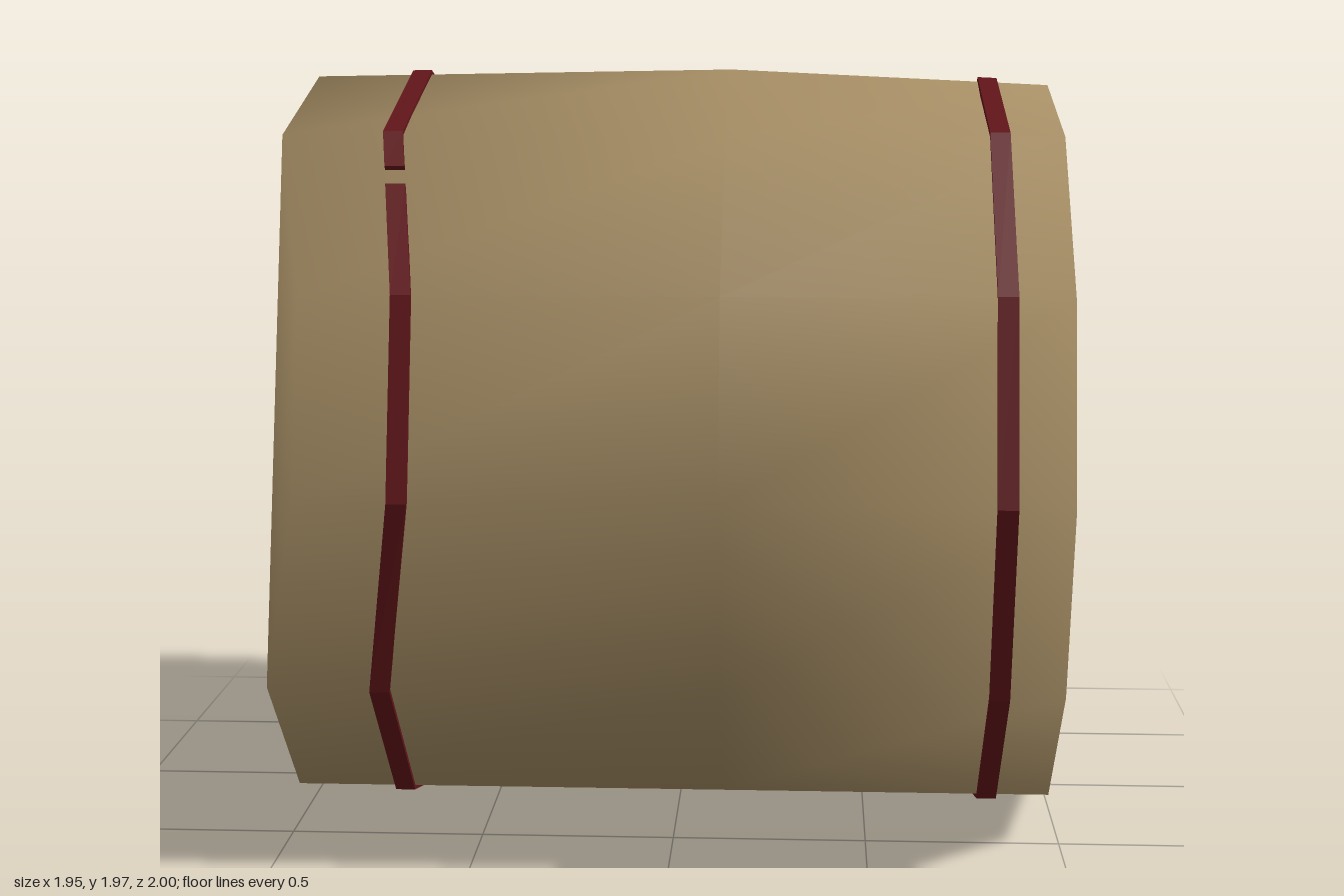
import * as THREE from 'three';

const N = 12;
// Cross-section corners as [z, y], from the top round the front side
const section = [
  [0, 1.97], [0.5, 1.82], [0.86, 1.46], [0.99, 0.98], [0.86, 0.49], [0.5, 0.13],
  [0, 0.01], [-0.47, 0.13], [-0.86, 0.48], [-1, 1], [-0.85, 1.48], [-0.48, 1.83],
];

// One ring of corners at x; dents replace single corners with [x, y, z]
function makeRing(x, dents) {
  return section.map(([z, y], i) => new THREE.Vector3(...(dents[i] ?? [x, y, z])));
}

const rings = [
  makeRing(-0.98, { 0: [-0.98, 1.95, 0], 2: [-0.89, 1.45, 0.82], 3: [-0.89, 0.97, 0.94] }),
  makeRing(0.13, { 8: [0.13, 0.48, -0.87], 9: [0.13, 1, -0.85], 10: [0.13, 1.49, -0.78], 11: [0.13, 1.84, -0.48] }),
  makeRing(0.97, { 0: [0.97, 1.93, 0], 8: [0.97, 0.48, -0.83], 11: [0.97, 1.8, -0.46] }),
];

function buildGeometry(points, index) {
  const g = new THREE.BufferGeometry().setFromPoints(points);
  g.setIndex(index);
  g.computeVertexNormals();
  return g;
}

// Drum: walls between the rings, and end caps sharing the rim corners
function drumGeometry() {
  const index = [];
  for (let j = 0; j < rings.length - 1; j++) {
    for (let i = 0; i < N; i++) {
      const a = j * N + i, b = j * N + (i + 1) % N;
      index.push(a, b, a + N, b, b + N, a + N);
    }
  }
  const last = (rings.length - 1) * N;
  for (let k = 1; k < N - 1; k++) {
    // the near cap fans from corner 4, so the chipped corners bend away from it
    index.push(4, (4 + k + 1) % N, (4 + k) % N);
    index.push(last + 9, last + (9 + k) % N, last + (9 + k + 1) % N);
  }
  return buildGeometry(rings.flat(), index);
}

// Point on the wall at x, for a position u counted in corners round the drum
function onWall(u, x) {
  const corner = (i) => {
    const [a, b] = x < rings[1][i].x ? [rings[0][i], rings[1][i]] : [rings[1][i], rings[2][i]];
    return a.clone().lerp(b, (x - a.x) / (b.x - a.x)).setX(x);
  };
  const i = Math.floor(u);
  return corner(i % N).lerp(corner((i + 1) % N), u - i);
}

// Raised strip from u0 to u1; xAt gives the strip's centre line
function bandGeometry(u0, u1, xAt) {
  const stops = [u0];
  for (let i = Math.floor(u0) + 1; i < u1 - 1e-6; i++) stops.push(i);
  stops.push(u1);
  const points = [], index = [];
  for (const u of stops) {
    const i = Math.floor(u);
    const x = THREE.MathUtils.lerp(xAt(i % N), xAt((i + 1) % N), u - i);
    for (const [dx, lift] of [[-0.025, -0.02], [-0.025, 0.012], [0.025, 0.012], [0.025, -0.02]]) {
      const p = onWall(u, x + dx);
      const out = new THREE.Vector3(0, p.y - 0.99, p.z).normalize();
      points.push(p.addScaledVector(out, lift));
    }
  }
  for (let s = 0; s < stops.length - 1; s++) {
    for (let k = 0; k < 4; k++) {
      const a = s * 4 + k, b = s * 4 + (k + 1) % 4;
      index.push(a, a + 4, b, b, a + 4, b + 4);
    }
  }
  const e = (stops.length - 1) * 4;
  index.push(0, 1, 2, 0, 2, 3, e, e + 2, e + 1, e, e + 3, e + 2);
  const flat = buildGeometry(points, index).toNonIndexed();
  flat.computeVertexNormals();
  return flat;
}

export function createModel() {
  const model = new THREE.Group();
  model.name = 'bandedDrum';

  const drumMaterial = new THREE.MeshStandardMaterial({ color: 0xa58d64, side: THREE.DoubleSide });
  const bandMaterial = new THREE.MeshStandardMaterial({ color: 0x611519, side: THREE.DoubleSide });

  const drum = new THREE.Mesh(drumGeometry(), drumMaterial);
  drum.name = 'drum';
  model.add(drum);

  // Bands, each split where it is torn
  const bands = [
    {
      name: 'rightBand',
      xAt: (i) => (i === 2 || i === 3 ? -0.635 : -0.7),
      parts: [[1.33, 9.15], [9.55, 10.15], [10.7, 13.22]],
    },
    {
      name: 'leftBand',
      xAt: (i) => (i === 10 || i === 11 ? 0.82 : 0.81),
      parts: [[8.88, 20.78]],
    },
  ];
  for (const { name, xAt, parts } of bands) {
    const band = new THREE.Group();
    band.name = name;
    parts.forEach(([u0, u1], i) => {
      const strip = new THREE.Mesh(bandGeometry(u0, u1, xAt), bandMaterial);
      strip.name = `${name}Strip${i + 1}`;
      band.add(strip);
    });
    model.add(band);
  }
  return model;
}
